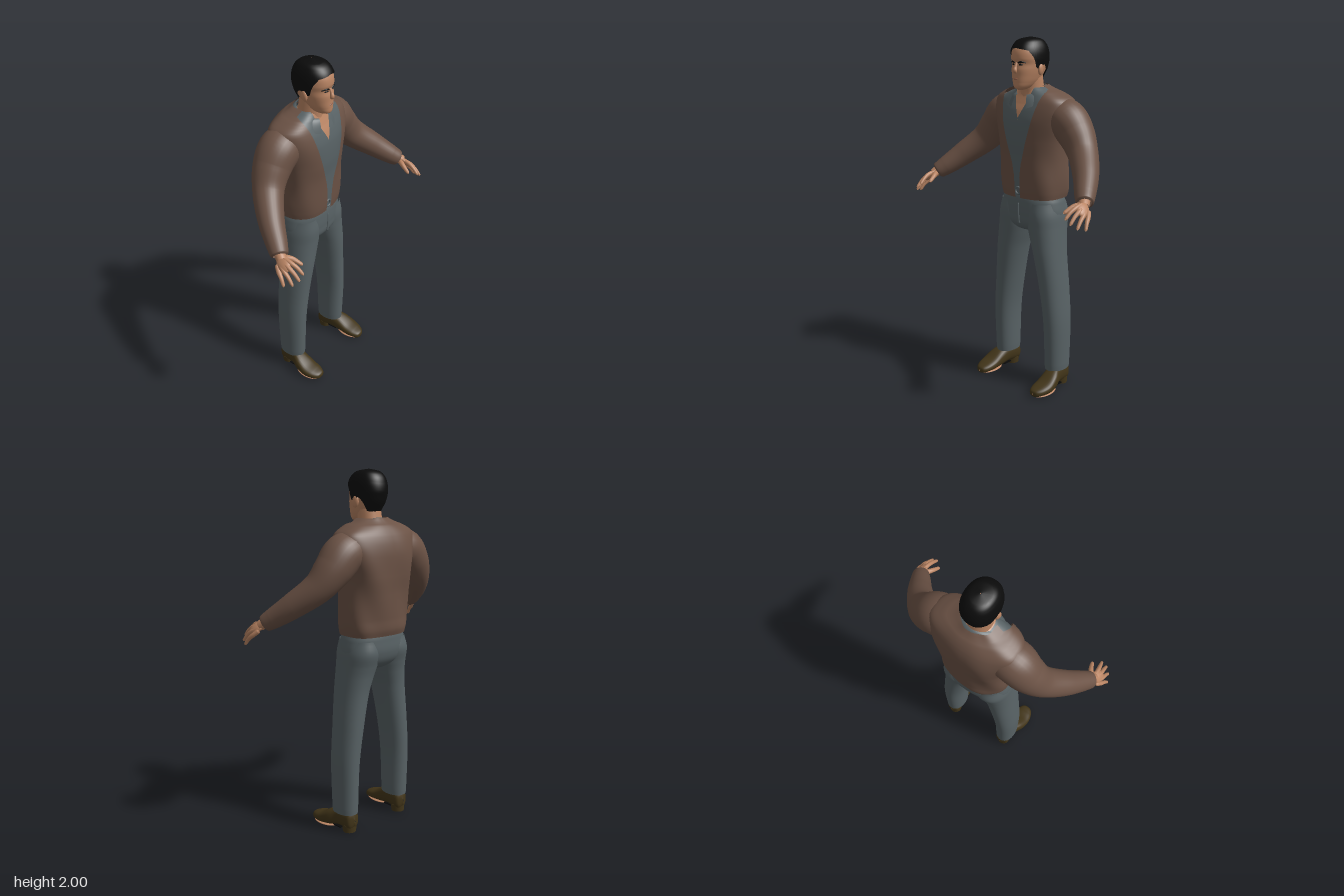
import * as THREE from 'three';
import { ParametricGeometry } from 'three/addons/geometries/ParametricGeometry.js';

const mat = (name, color, side = THREE.FrontSide) => {
  const m = new THREE.MeshStandardMaterial({ color, side });
  m.name = name;
  return m;
};

// smooth interpolation of rows [key, a, b, ...] with ascending keys
function sample(rows, k) {
  const n = rows.length - 1;
  if (k <= rows[0][0]) return rows[0];
  if (k >= rows[n][0]) return rows[n];
  let i = 0;
  while (k > rows[i + 1][0]) i++;
  const h = rows[i + 1][0] - rows[i][0], t = (k - rows[i][0]) / h;
  const slope = (j, c) => {
    const a = rows[Math.max(j - 1, 0)], b = rows[Math.min(j + 1, n)];
    return (b[c] - a[c]) / (b[0] - a[0]);
  };
  return rows[i].map((p, c) => {
    const q = rows[i + 1][c], t2 = t * t, t3 = t2 * t;
    return (2 * t3 - 3 * t2 + 1) * p + (t3 - 2 * t2 + t) * h * slope(i, c)
      + (3 * t2 - 2 * t3) * q + (t3 - t2) * h * slope(i + 1, c);
  });
}
const lerpRows = (rows, k) => {
  for (let i = 1; i < rows.length; i++) if (k <= rows[i][0]) {
    const [a, b] = [rows[i - 1], rows[i]];
    return THREE.MathUtils.mapLinear(Math.max(k, a[0]), a[0], b[0], a[1], b[1]);
  }
  return rows[rows.length - 1][1];
};
const pow = (v, p) => Math.sign(v) * Math.abs(v) ** p;

// point on a horizontal section; rows are [y, half width, front z, back z, centre x]
function ringPoint(rows, y, a, n, off, out, side = 1) {
  const [, rx, zf, zb, cx = 0] = sample(rows, y);
  return out.set(side * cx + (rx + off) * pow(Math.sin(a), 2 / n), y,
    (zf + zb) / 2 + ((zf - zb) / 2 + off) * pow(Math.cos(a), 2 / n));
}
const loft = (rows, n, stacks, side = 1) => new ParametricGeometry((u, v, p) =>
  ringPoint(rows, THREE.MathUtils.lerp(rows[0][0], rows[rows.length - 1][0], v), u * Math.PI * 2, n, 0, p, side), 40, stacks);

// tapered tube through points [x, y, z, radius]
function tube(pts, cap = false, around = 16, along = 24) {
  const curve = new THREE.CatmullRomCurve3(pts.map(p => new THREE.Vector3(p[0], p[1], p[2])));
  const radii = pts.map((p, i) => [i / (pts.length - 1), p[3]]);
  return new ParametricGeometry((u, v, p) => {
    const T = curve.getTangent(v), N = new THREE.Vector3(0, 0, 1).cross(T).normalize();
    const B = T.clone().cross(N), a = u * Math.PI * 2;
    let r = sample(radii, v)[1];
    if (cap) r *= Math.sqrt(Math.max(0.001, 1 - Math.max(0, Math.abs(v - 0.5) * 2 - 0.8) ** 2 * 25));
    p.copy(curve.getPoint(v)).addScaledVector(N, Math.cos(a) * r).addScaledVector(B, Math.sin(a) * r);
  }, around, along);
}

const BODY = [
  [1.12, 0.178, 0.010, -0.240], [1.16, 0.186, 0.016, -0.250], [1.22, 0.190, 0.020, -0.250],
  [1.35, 0.188, 0.025, -0.258], [1.45, 0.198, 0.033, -0.267], [1.55, 0.225, 0.030, -0.266],
  [1.61, 0.240, 0.016, -0.253], [1.66, 0.230, -0.004, -0.230], [1.695, 0.170, -0.018, -0.205],
  [1.715, 0.115, -0.024, -0.180], [1.735, 0.075, -0.028, -0.160]];
const JACKET_GAP = [[1.12, 0.018], [1.25, 0.02], [1.32, 0.032], [1.5, 0.087], [1.69, 0.14], [1.74, 0.14]];
const SHIRT_GAP = [[1.57, 0], [1.68, 0.05], [1.74, 0.06]];

// one layer of clothing over the trunk, open at the front by a gap that varies with height
const layer = (off, gap, y0, fold = 0) => new ParametricGeometry((u, v, p) => {
  const y = THREE.MathUtils.lerp(y0, 1.735, v), n = 2.5;
  const g = Math.min(lerpRows(gap, y) / (sample(BODY, y)[1] + off), 0.99);
  const a0 = Math.asin(g ** (n / 2)), a = THREE.MathUtils.lerp(a0, Math.PI * 2 - a0, u);
  const wave = fold * Math.sin(5 * a + 14 * y) * Math.sin(u * Math.PI);
  ringPoint(BODY, y, a, n, off + wave, p);
  p.y += off * THREE.MathUtils.clamp((y - 1.55) / 0.1, 0, 1);
}, 72, 60);

const HEAD = [
  [1.722, 0.012, 0.018, -0.03], [1.735, 0.038, 0.036, -0.08], [1.765, 0.058, 0.040, -0.125],
  [1.80, 0.070, 0.040, -0.150], [1.83, 0.077, 0.040, -0.168], [1.86, 0.081, 0.034, -0.177],
  [1.89, 0.084, 0.040, -0.182], [1.93, 0.081, 0.033, -0.176], [1.96, 0.068, 0.012, -0.160],
  [1.98, 0.046, -0.022, -0.130], [1.991, 0.002, -0.078, -0.082]];
const HAIRLINE = [[0, 1.942], [45, 1.932], [62, 1.90], [74, 1.84], [86, 1.835], [98, 1.86], [115, 1.83], [135, 1.785], [180, 1.765]];

const LEG = [
  [0.11, 0.058, -0.020, -0.180, 0.198], [0.14, 0.060, -0.018, -0.182, 0.198], [0.4, 0.065, -0.008, -0.190, 0.195],
  [0.6, 0.072, 0.000, -0.195, 0.173], [0.8, 0.083, 0.013, -0.200, 0.142], [0.9, 0.094, 0.016, -0.212, 0.122],
  [0.96, 0.100, 0.018, -0.226, 0.111], [1.03, 0.100, 0.020, -0.243, 0.105], [1.1, 0.088, 0.010, -0.230, 0.1]];
const PELVIS = [
  [0.915, 0.01, -0.09, -0.11], [0.93, 0.10, -0.03, -0.17], [0.97, 0.19, 0.012, -0.222], [1.03, 0.204, 0.022, -0.246],
  [1.10, 0.194, 0.022, -0.246], [1.13, 0.184, 0.018, -0.242], [1.16, 0.178, 0.008, -0.234]];
// shoe sections: [key, z, centre x, half width, top, bottom]
const SHOE = [
  [0, 0.135, 0.215, 0.002, 0.030, 0.020], [1, 0.125, 0.217, 0.030, 0.045, 0.008], [2, 0.09, 0.220, 0.050, 0.058, 0.008],
  [3, 0.04, 0.222, 0.058, 0.075, 0.008], [4, -0.02, 0.217, 0.054, 0.110, 0.012], [5, -0.07, 0.205, 0.045, 0.130, 0.022],
  [6, -0.13, 0.198, 0.045, 0.130, 0.020], [7, -0.165, 0.197, 0.038, 0.120, 0.020], [8, -0.18, 0.197, 0.002, 0.080, 0.050]];
const FINGERS = [
  [[0.56, 1.20, 0.20], [0.55, 1.15, 0.272]], [[0.58, 1.186, 0.198], [0.582, 1.128, 0.272]],
  [[0.597, 1.168, 0.182], [0.61, 1.106, 0.25]], [[0.608, 1.152, 0.162], [0.63, 1.095, 0.208]]];

export function createModel() {
  const root = new THREE.Group();
  root.name = 'standingMan';
  const skin = mat('skin', 0xb98463), hair = mat('black hair', 0x0b0b0b, THREE.DoubleSide);
  const brown = mat('brown jacket', 0x6b5245, THREE.DoubleSide), grey = mat('grey cloth', 0x586265, THREE.DoubleSide);
  const leather = mat('olive leather', 0x423519), lip = mat('lip', 0x8d5b47);
  const add = (name, geo, m, pos, scale) => {
    const mesh = new THREE.Mesh(geo, m);
    mesh.name = name;
    if (pos) mesh.position.set(...pos);
    if (scale) mesh.scale.set(...scale);
    root.add(mesh);
    return mesh;
  };
  const ball = new THREE.SphereGeometry(1, 24, 16);

  // trunk and clothing
  add('chest', layer(-0.008, [[0, 0], [2, 0]], 1.45), skin);
  add('shirt', layer(0, SHIRT_GAP, 1.12), grey);
  add('jacket', layer(0.013, JACKET_GAP, 1.125, 0.004), brown);
  add('collar', new ParametricGeometry((u, v, p) => {
    const a = THREE.MathUtils.lerp(0.42, Math.PI * 2 - 0.42, u), f = (1 + Math.cos(a)) / 2;
    const tip = Math.max(0, f - 0.6) * 0.09;
    p.set(Math.sin(a) * (0.08 + 0.052 * v), 1.75 - 0.055 * f - (0.03 + tip) * v * v - 0.008 * v,
      -0.083 + Math.cos(a) * (0.078 + 0.034 * v));
  }, 48, 8), grey);
  add('beltBuckle', new THREE.TorusGeometry(0.02, 0.006, 8, 20), grey, [0, 1.165, 0.022]);

  // trousers
  add('trouserSeat', loft(PELVIS, 2.3, 30), grey);
  add('fly', tube([[0, 1.1, 0.02, 0.006], [0, 1.03, 0.02, 0.008], [0, 0.97, 0.012, 0.012]], true), grey);

  // head
  add('neck', tube([[0, 1.64, -0.1, 0.078], [0, 1.71, -0.092, 0.068], [0, 1.8, -0.08, 0.064]]), skin);
  add('head', loft(HEAD, 2.2, 50), skin);
  add('hair', new ParametricGeometry((u, v, p) => {
    const a = u * Math.PI * 2, deg = Math.abs(u > 0.5 ? 360 - u * 360 : u * 360);
    const y = THREE.MathUtils.lerp(lerpRows(HAIRLINE, deg), 1.991, Math.sin(v * Math.PI / 2));
    ringPoint(HEAD, y, a, 2.2, 0.008 * (1 - v ** 8), p);
    p.y += 0.009 * THREE.MathUtils.clamp((y - 1.93) / 0.05, 0, 1);
  }, 64, 32), hair);
  add('nose', tube([[0, 1.872, 0.030, 0.006], [0, 1.846, 0.041, 0.008], [0, 1.827, 0.046, 0.012], [0, 1.815, 0.037, 0.008]], true), skin);
  const faceLine = (name, m, line) => add(name, tube(line.map(([y, a, r]) =>
    [...ringPoint(HEAD, y, a, 2.2, 0, new THREE.Vector3()).toArray(), r]), true, 8, 16), m);
  faceLine('mouth', lip, [[1.781, -0.22, 0.002], [1.783, 0.001, 0.004], [1.781, 0.22, 0.002]]);

  for (const s of [1, -1]) {
    const side = s > 0 ? 'left' : 'right';
    const mx = pts => pts.map(([x, ...r]) => [s * x, ...r]);
    faceLine(side + 'Brow', hair, [[1.866, s * 0.10, 0.004], [1.873, s * 0.32, 0.005], [1.868, s * 0.66, 0.003]]);
    faceLine(side + 'Eye', hair, [[1.857, s * 0.17, 0.002], [1.859, s * 0.3, 0.0045], [1.857, s * 0.46, 0.002]]);
    add(side + 'Ear', ball, skin, [s * 0.084, 1.832, -0.066], [0.012, 0.031, 0.020]).rotation.set(-0.15, s * 0.25, 0);

    // arm and hand
    add(side + 'Sleeve', tube(mx([
      [0.15, 1.585, -0.125, 0.105], [0.225, 1.565, -0.125, 0.112], [0.295, 1.495, -0.12, 0.101], [0.365, 1.41, -0.09, 0.083],
      [0.46, 1.315, 0.0, 0.069], [0.525, 1.245, 0.085, 0.056], [0.555, 1.215, 0.125, 0.046], [0.559, 1.211, 0.13, 0.034]]), false, 28, 56), brown);
    add(side + 'Wrist', tube(mx([[0.53, 1.24, 0.09, 0.03], [0.556, 1.215, 0.13, 0.029], [0.568, 1.2, 0.15, 0.028]])), skin);
    const along = new THREE.Vector3(s * 0.03, -0.035, 0.06).normalize();
    const normal = along.clone().cross(new THREE.Vector3(s * 0.05, -0.05, -0.04)).normalize();
    const palm = add(side + 'Palm', ball, skin, [s * 0.575, 1.19, 0.166], [0.036, 0.017, 0.05]);
    palm.quaternion.setFromRotationMatrix(new THREE.Matrix4().makeBasis(normal.clone().cross(along), normal, along));
    FINGERS.forEach(([k, t], i) => {
      const bend = k.map((c, j) => (c + t[j]) / 2 + (j === 1 ? 0.007 : 0));
      const base = [0.562 + i * 0.008, 1.21 - i * 0.01, 0.15 - i * 0.006];
      add(side + 'Finger' + (i + 1), tube(mx([[...base, 0.013], [...k, 0.0125], [...bend, 0.0105], [...t, 0.008]]), true, 12, 20), skin);
    });
    add(side + 'Thumb', tube(mx([[0.555, 1.205, 0.14, 0.016], [0.528, 1.197, 0.18, 0.014], [0.508, 1.168, 0.235, 0.009]]), true, 12, 20), skin);

    // leg and shoe
    add(side + 'TrouserLeg', loft(LEG, 2.2, 48, s), grey);
    add(side + 'Shoe', new ParametricGeometry((u, v, p) => {
      const [, z, cx, hw, top, bottom] = sample(SHOE, v * 8), a = u * Math.PI * 2;
      p.set(s * cx + hw * pow(Math.sin(a), 0.8), (top + bottom) / 2 + (top - bottom) / 2 * pow(Math.cos(a), 0.8), z);
    }, 28, 40), leather);
    add(side + 'Sole', ball, skin, [s * 0.22, 0.008, 0.04], [0.052, 0.008, 0.085]);
    add(side + 'Shank', new THREE.BoxGeometry(0.06, 0.006, 0.06), hair, [s * 0.207, 0.018, -0.07]);
    add(side + 'Heel', new THREE.CylinderGeometry(0.04, 0.038, 0.04, 24), leather, [s * 0.198, 0.02, -0.135]);
  }
  return root;
}
